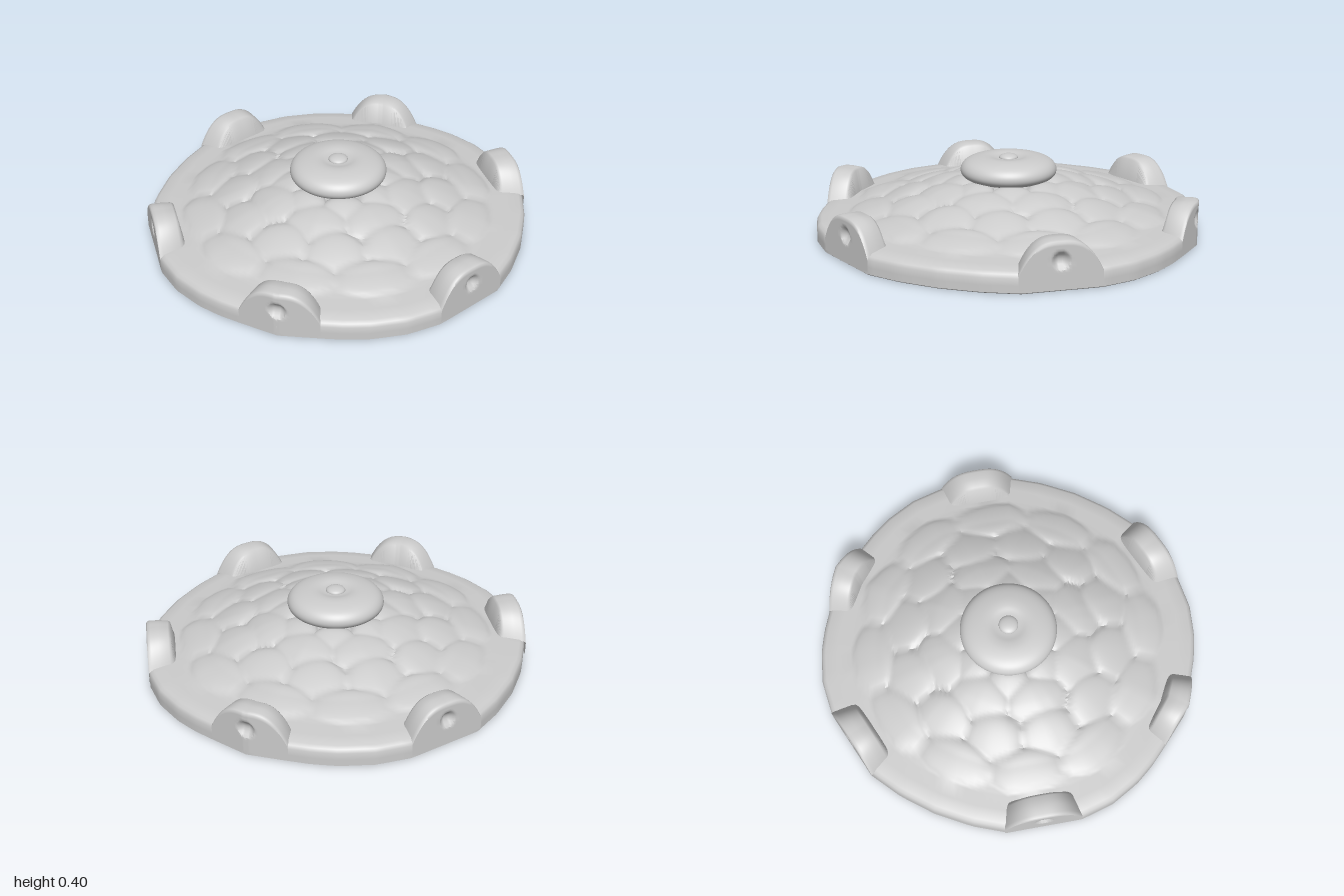
import * as THREE from 'three';
import { toCreasedNormals } from 'three/addons/utils/BufferGeometryUtils.js';

const material = new THREE.MeshStandardMaterial({ color: 0xcccccc, side: THREE.DoubleSide });

// Surface through a grid of points given by point(i, j)
function grid(nu, nv, point) {
  const pos = [], index = [];
  for (let i = 0; i <= nu; i++) for (let j = 0; j <= nv; j++) pos.push(...point(i, j));
  for (let i = 0; i < nu; i++) for (let j = 0; j < nv; j++) {
    const a = i * (nv + 1) + j, b = a + nv + 1;
    index.push(a, b, a + 1, b, b + 1, a + 1);
  }
  const g = new THREE.BufferGeometry();
  g.setAttribute('position', new THREE.Float32BufferAttribute(pos, 3));
  g.setIndex(index);
  return toCreasedNormals(g, 0.8);
}

function add(group, name, geometry) {
  const mesh = new THREE.Mesh(geometry, material);
  mesh.name = name;
  group.add(mesh);
  return mesh;
}

// Rim outline in one quadrant, mirrored to the others
const corners = [[0.975, 0], [0.96, 0.2], [0.92, 0.38], [0.71, 0.705], [0.58, 0.82],
  [0.43, 0.9], [0.31, 0.94], [0.19, 0.965], [0, 1]];
function outline(theta) {
  const c = Math.abs(Math.cos(theta)), s = Math.abs(Math.sin(theta));
  for (let k = 0; k < corners.length - 1; k++) {
    const [x0, z0] = corners[k], [x1, z1] = corners[k + 1];
    if (s * x1 - c * z1 <= 1e-9) {
      const dx = x1 - x0, dz = z1 - z0;
      return (x0 * dz - z0 * dx) / (c * dz - s * dx);
    }
  }
  return 1;
}

// Piecewise linear lookup in a list of [key, value]
function lookup(table, t) {
  for (let k = 1; k < table.length; k++) {
    const [a, va] = table[k - 1], [b, vb] = table[k];
    if (t <= b) return va + (vb - va) * (t - a) / (b - a);
  }
  return table[table.length - 1][1];
}

// Staggered rings of scales, rounded towards the centre: radius, count, half length, half turn
const rings = [[0.72, 12, 0.11, 0], [0.55, 12, 0.12, 0.5], [0.38, 8, 0.12, 0], [0.26, 8, 0.1, 0.5]];
function scaleHeight(r, theta) {
  let best = 0;
  for (const [rc, n, len, shift] of rings) {
    const step = 2 * Math.PI / n;
    const turn = (theta - Math.PI / 2) / step - shift;
    const v = (turn - Math.round(turn)) * 2 / 1.06;
    const u = (r - rc) / len;
    const d = 1 - u * u - v * v;
    if (d > 0) best = Math.max(best, 0.036 * Math.sqrt(d) * (0.8 - 0.2 * u));
  }
  return best;
}

const dome = [[0, 0.262], [0.25, 0.247], [0.4, 0.216], [0.55, 0.174], [0.7, 0.132], [0.84, 0.113]];

function shieldGeometry() {
  // Flat underside, outer wall and rim as [fraction of outline, height]
  const profile = [[0, 0], [0.5, 0], [0.9, 0], [0.992, 0], [1, 0.006], [1, 0.04], [1, 0.075],
    [0.992, 0.092], [0.975, 0.102], [0.91, 0.11], [0.84, 0.113]];
  const domeSteps = 58, last = profile.length - 1;
  return grid(144, last + domeSteps, (i, j) => {
    const theta = -(i % 144) / 144 * 2 * Math.PI;
    const R = outline(theta);
    let s, y;
    if (j <= last) [s, y] = profile[j];
    else {
      s = 0.84 * (1 - (j - last) / domeSteps);
      y = lookup(dome, s) + scaleHeight(s, theta);
    }
    return [s * R * Math.cos(theta), y, s * R * Math.sin(theta)];
  });
}

// Arched rim block with a round dent in its outer face, tapering inwards
function blockGeometry(face, outerBend, innerBend) {
  const half = 0.2, faceSteps = 18;
  // Top and inner side: [distance behind the face, drop below the arch]
  const back = [[0.006, 0.004], [0.02, 0], [0.06, 0], [0.11, 0.003], [0.122, 0.012]];
  return grid(40, faceSteps + back.length + 1, (i, j) => {
    const x = (i / 20 - 1) * half;
    const h = 0.095 + 0.145 * (1 - Math.pow(Math.abs(x) / half, 2.9));
    if (j <= faceSteps) {
      const y = 0.02 + (h - 0.032) * j / faceSteps;
      const d = Math.hypot(x, y - 0.145) / 0.045;
      const dent = d < 1 ? 0.03 * (1 - d * d) : 0;
      return [x, y, face - outerBend * Math.abs(x) - dent];
    }
    const [depth, drop] = back[j - faceSteps - 1] ?? [0.145, h - 0.085];
    const t = depth / 0.145;
    const bend = outerBend + (innerBend - outerBend) * t;
    return [x * (1 - 0.14 * t), h - drop, face - depth - bend * Math.abs(x)];
  });
}

export function createModel() {
  const model = new THREE.Group();
  model.name = 'roundShield';

  add(model, 'scaledDome', shieldGeometry());

  // Central boss: a flattened cushion with a shallow hollow on top
  const bossPoints = [[0, 0.255], [0.17, 0.262], [0.215, 0.272], [0.24, 0.288], [0.25, 0.31],
    [0.245, 0.335], [0.225, 0.358], [0.19, 0.374], [0.14, 0.384], [0.1, 0.384], [0.06, 0.376], [0, 0.374]];
  const curve = new THREE.SplineCurve(bossPoints.map(([x, y]) => new THREE.Vector2(x, y)));
  const bossProfile = curve.getPoints(44).map(p => new THREE.Vector2(Math.max(0, p.x), p.y));
  add(model, 'boss', new THREE.LatheGeometry(bossProfile, 64));

  // Small knob in the hollow
  const knob = add(model, 'knob', new THREE.SphereGeometry(0.05, 32, 16));
  knob.scale.y = 0.4;
  knob.position.y = 0.376;

  // Six rim blocks: bent ones at front and back, straight ones at the sides
  const bent = blockGeometry(1.0, 0.184, 0.08), straight = blockGeometry(0.981, 0, 0);
  for (const side of [0, Math.PI]) {
    add(model, side ? 'backRimBlock' : 'frontRimBlock', bent).rotation.y = side;
    for (const sign of [-1, 1]) {
      add(model, 'sideRimBlock', straight).rotation.y = side + sign * THREE.MathUtils.degToRad(56.8);
    }
  }
  return model;
}
